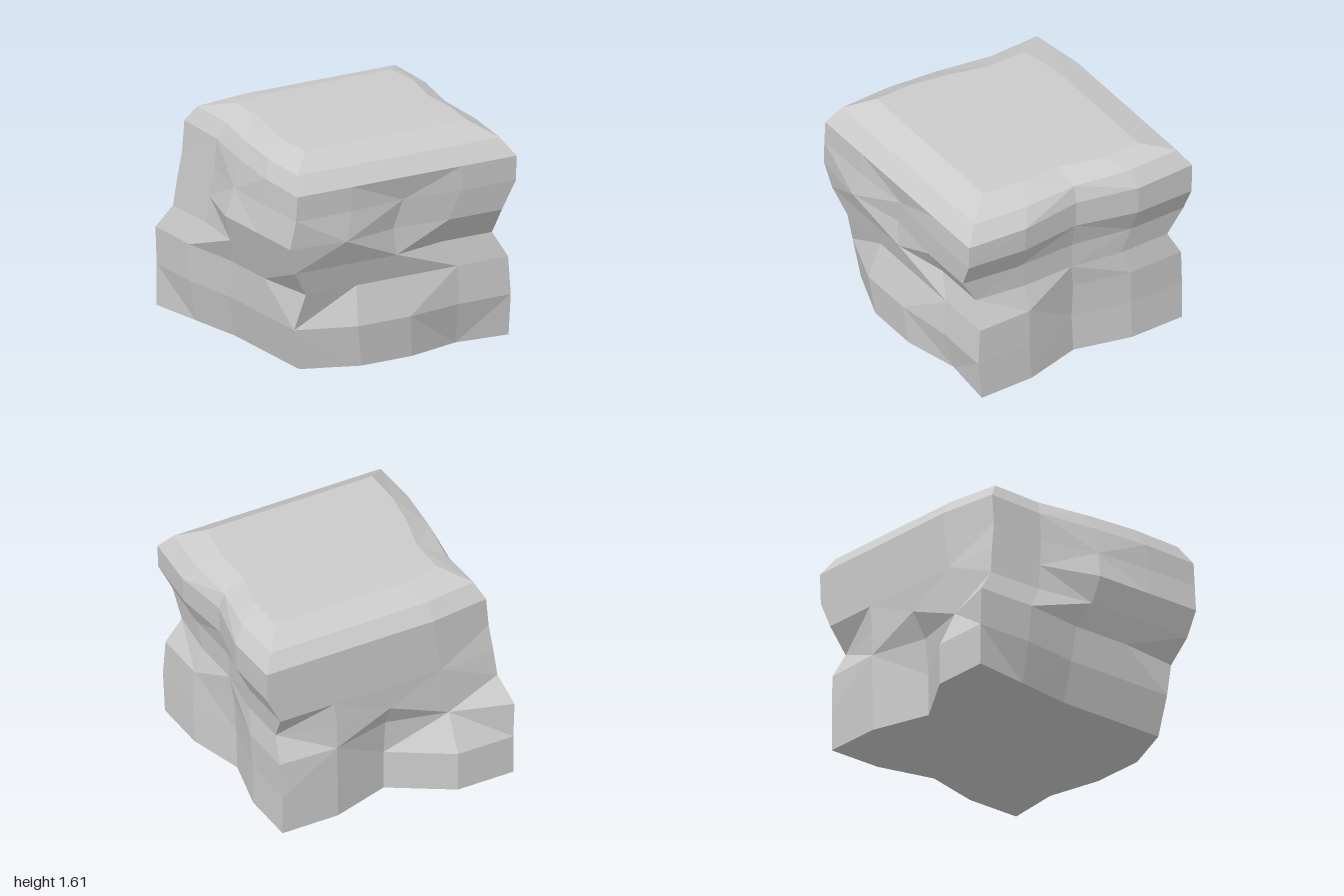
import * as THREE from 'three';

// Height, then the general reach of the front, right, back and left walls
const profile = [
  [0, .86, .87, .86, .81],
  [.31, .89, .87, .86, .87],
  [.59, .87, .86, .86, .88],
  [.78, .92, .8, .86, .91],
  [.98, .95, .81, .86, .94],
  [1.19, .97, .91, .86, .92],
  [1.4, .97, .92, .86, .9],
  [1.52, .87, .84, .78, .84],
  [1.6, .69, .68, .56, .67],
];

// Bulges and hollows of each wall: column (0 to 4, counter-clockwise from
// above), height, half width in columns, half height, push outwards
const frontForms = [
  [0, .2, 1, .3, -.1], // chipped lower corner
  [1.5, .15, 1.5, .3, .06], // foot bulge
  [3, 0, 1, .2, -.04], // foot chip
  [3.5, .78, 1, .15, -.09], // notch
  [1, .98, 1, .2, .05], // brow
  [2, 1.12, 1, .25, -.04], // shallow valley
];
const rightForms = [
  [2, .1, 1, .65, -.11], // base hollow
  [0, .88, 1, .2, -.05], // waist
  [4, .85, 2, .3, .06], // rear waist
  [4, 1.35, 2, .4, .08], // rear flare
  [0, 1.4, 1, .3, -.05], // clipped front shoulder
  [2, 1.3, 1, .2, -.04], // dip between shoulders
];
const backForms = [
  [4, .28, 1, .48, .14], // foot block
  [3, .1, 1, .4, .14], // foot flank
  [2, 0, 1, .8, -.14], // base hollow
  [0, .78, 1, .2, -.12], // corner pit
  [4, 1.5, 1, .6, -.06], // clipped shoulder
];
const leftForms = [
  [0, .28, 2, .48, .06], // foot side
  [0, 0, 1, .3, .06], // foot corner
  [4, .59, 1, .15, -.06], // undercut
  [3, .98, 1.5, .24, .06], // belly
  [0, 1.3, 2, .6, -.08], // rear inset
  [4, 1.45, 2, .3, .05], // front shoulder
];

// Full strength in the middle, fading near the rim
const fade = (distance, reach) => THREE.MathUtils.clamp(3 * (1 - Math.abs(distance) / reach), 0, 1);

// Five depths across one wall at one height
const wall = (reach, y, forms) => [0, 1, 2, 3, 4].map((column) => forms.reduce(
  (depth, [u, v, w, h, push]) => depth + push * fade(column - u, w) * fade(y - v, h), reach));

// Sixteen points round one cross-section; the upper ones lean to the front
function ring([y, f, r, b, l]) {
  const mix = THREE.MathUtils.lerp;
  const front = wall(f, y, frontForms);
  const right = wall(r, y, rightForms);
  const back = wall(b, y, backForms).map((d) => -d);
  const left = wall(l, y, leftForms).map((d) => -d);
  const points = [];
  for (let k = 0; k < 4; k++) points.push([mix(left[4], right[0], k / 4), front[k]]);
  for (let k = 0; k < 4; k++) points.push([right[k], mix(front[4], back[0], k / 4)]);
  for (let k = 0; k < 4; k++) points.push([mix(right[4], left[0], k / 4), back[k]]);
  for (let k = 0; k < 4; k++) points.push([left[k], mix(back[4], front[0], k / 4)]);
  const lean = y > 1.3 && y < 1.6 ? .03 : 0;
  return points.map(([x, z]) => [x, y - lean * z, z]);
}

function boulderGeometry() {
  const n = 16;
  const top = (profile.length - 1) * n;
  const positions = profile.flatMap((level) => ring(level).flat());
  const index = [];

  // Walls between neighbouring cross-sections, with alternating diagonals
  for (let i = 0; i < profile.length - 1; i++) {
    for (let j = 0; j < n; j++) {
      const a = i * n + j, b = i * n + (j + 1) % n;
      const c = b + n, d = a + n;
      if ((i + j) % 2) index.push(a, b, c, a, c, d);
      else index.push(a, b, d, b, c, d);
    }
  }

  // Flat base and slightly crowned top
  const base = profile.length * n, crown = base + 1;
  positions.push(0, 0, 0, 0, 1.61, 0);
  for (let j = 0; j < n; j++) {
    const next = (j + 1) % n;
    index.push(base, next, j, crown, top + j, top + next);
  }

  const geometry = new THREE.BufferGeometry();
  geometry.setAttribute('position', new THREE.Float32BufferAttribute(positions, 3));
  geometry.setIndex(index);
  const faceted = geometry.toNonIndexed();
  faceted.computeVertexNormals();
  return faceted;
}

export function createModel() {
  const group = new THREE.Group();
  group.name = 'rock';
  const stone = new THREE.MeshStandardMaterial({ color: 0xcccccc, flatShading: true });
  const boulder = new THREE.Mesh(boulderGeometry(), stone);
  boulder.name = 'boulder';
  group.add(boulder);
  return group;
}
